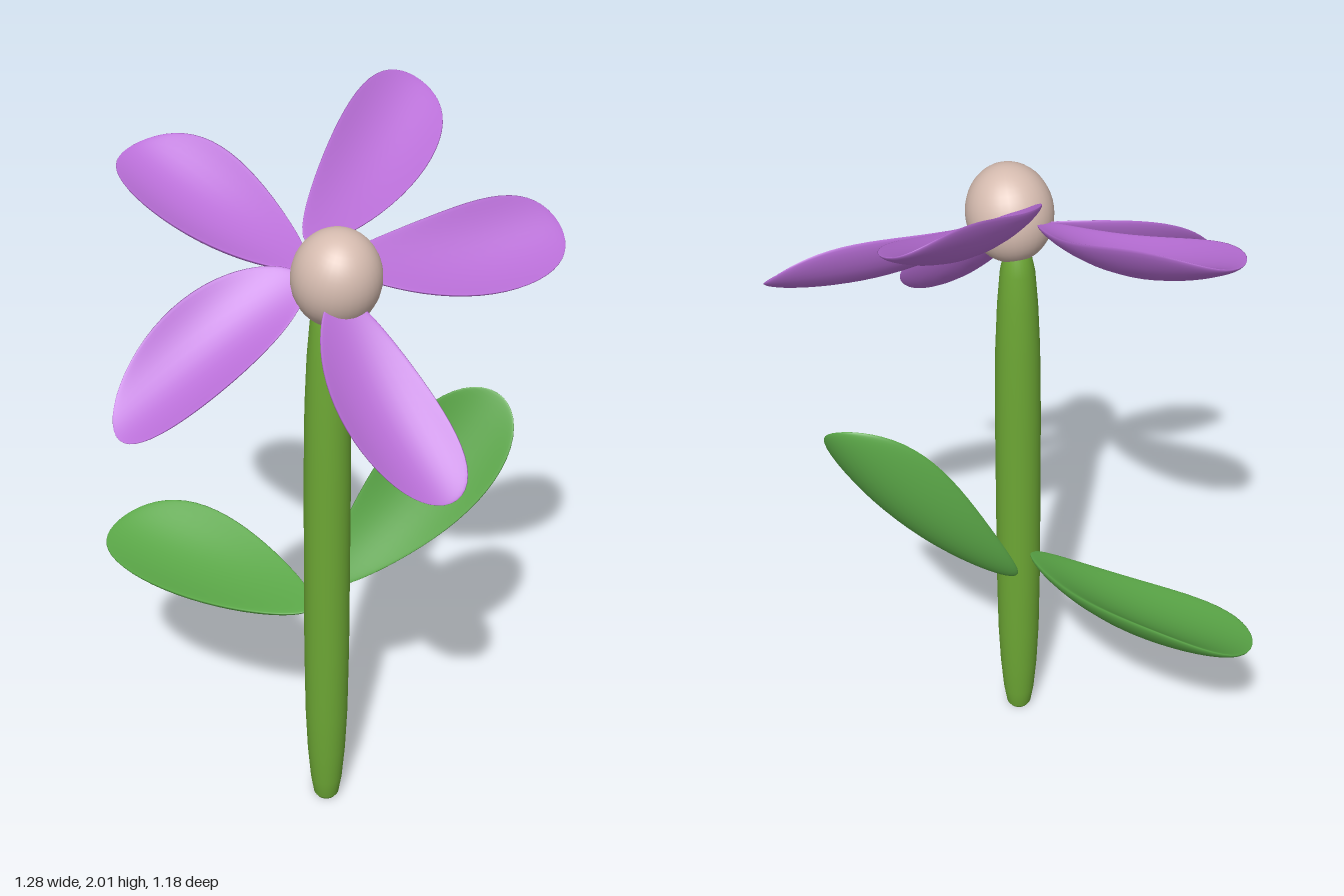
import * as THREE from 'three';
import { mergeVertices } from 'three/addons/utils/BufferGeometryUtils.js';

const mat = (color) => new THREE.MeshStandardMaterial({ color });

// Spoon-shaped blade: an egg outline from base to tip, flattened and cupped.
// half is the vector from the midline to one edge at the widest point,
// root the relative breadth at the base.
function blade(base, tip, half, { thick = 0.03, sag = 0.025, cup = 0.05, bow = 0, root = 0.45 } = {}) {
  const a = new THREE.Vector3(...base);
  const along = new THREE.Vector3(...tip).sub(a);
  const side = new THREE.Vector3(...half);
  const up = side.clone().cross(along).normalize();
  // keep the hollow side up and the frame right-handed
  const flip = up.y < 0 ? -1 : 1;
  up.multiplyScalar(flip);
  side.multiplyScalar(flip);

  let geo = new THREE.SphereGeometry(1, 32, 28);
  geo.deleteAttribute('uv');
  geo.deleteAttribute('normal');
  geo = mergeVertices(geo, 1e-5);
  const pos = geo.attributes.position;
  const v = new THREE.Vector3();
  const p = new THREE.Vector3();
  for (let i = 0; i < pos.count; i++) {
    v.fromBufferAttribute(pos, i);
    const t = (v.y + 1) / 2;
    const across = v.x * (root + (1 - root) * t) / (0.6 + 0.38 * root);
    const arch = Math.sin(Math.PI * t);
    // thin above the midline, fuller underneath, edges lifted
    const h = v.z * thick * (v.z > 0 ? 0.3 : 1) - sag * arch + cup * across * across;
    p.copy(a).addScaledVector(along, t).addScaledVector(side, across + flip * bow * arch).addScaledVector(up, h);
    pos.setXYZ(i, p.x, p.y, p.z);
  }
  geo.computeVertexNormals();
  return geo;
}

export function createModel() {
  const flower = new THREE.Group();
  flower.name = 'flower';
  const add = (name, geo, material, parent = flower) => {
    const mesh = new THREE.Mesh(geo, material);
    mesh.name = name;
    parent.add(mesh);
    return mesh;
  };

  // Stem with rounded, tapering ends
  const profile = [
    [0, 0], [0.028, 0], [0.036, 0.012], [0.045, 0.07], [0.054, 0.18], [0.06, 0.32], [0.063, 0.55],
    [0.063, 1.1], [0.06, 1.32], [0.054, 1.46], [0.046, 1.56], [0.036, 1.61], [0.02, 1.64], [0, 1.65],
  ].map(([r, y]) => new THREE.Vector2(r, y));
  add('stem', new THREE.LatheGeometry(profile, 32), mat(0x6ca634)).position.set(-0.035, 0, 0.115);

  // Flower centre, a slightly tall ball
  const centre = add('flowerCentre', new THREE.SphereGeometry(1, 32, 24), mat(0xd6bcb0));
  centre.scale.set(0.114, 0.13, 0.117);
  centre.rotation.x = 0.3;
  centre.position.set(-0.037, 1.707, 0.164);

  // Petals
  const petals = new THREE.Group();
  petals.name = 'petals';
  flower.add(petals);
  const purple = mat(0xb86ed6);
  const petalShapes = [
    ['petalBackLeft', [-0.07, 1.77, 0.07], [0.465, 1.97, -0.31], [0.068, -0.06, 0.095], { bow: 0.12, sag: 0.035 }],
    ['petalLeft', [0.0, 1.715, 0.12], [0.635, 1.69, 0.145], [0, -0.08, 0.105], { bow: 0.25 }],
    ['petalBackRight', [-0.085, 1.71, 0.08], [-0.28, 1.85, -0.52], [0.135, 0.035, -0.02], { sag: 0.045, cup: 0.06 }],
    ['petalRight', [-0.1, 1.68, 0.12], [-0.64, 1.45, 0.155], [-0.045, -0.09, 0.12], { bow: -0.15, root: 0.7 }],
    ['petalFront', [-0.055, 1.69, 0.22], [0.02, 1.265, 0.585], [0.138, -0.03, 0.03], { bow: -0.15, root: 0.55 }],
  ];
  for (const [name, base, tip, half, opts] of petalShapes) add(name, blade(base, tip, half, opts), purple, petals);

  // Leaves
  const leaves = new THREE.Group();
  leaves.name = 'leaves';
  flower.add(leaves);
  const green = mat(0x5aa647);
  const leafShapes = [
    ['leafLeft', [0.04, 0.645, -0.015], [0.49, 1.215, 0.105], [0.085, -0.055, 0.105], { thick: 0.035, bow: 0.12 }],
    ['leafBack', [-0.055, 0.64, 0.06], [-0.365, 0.655, -0.585], [0.142, 0.05, -0.04], { thick: 0.04, sag: 0.035 }],
  ];
  for (const [name, base, tip, half, opts] of leafShapes) add(name, blade(base, tip, half, opts), green, leaves);

  return flower;
}
